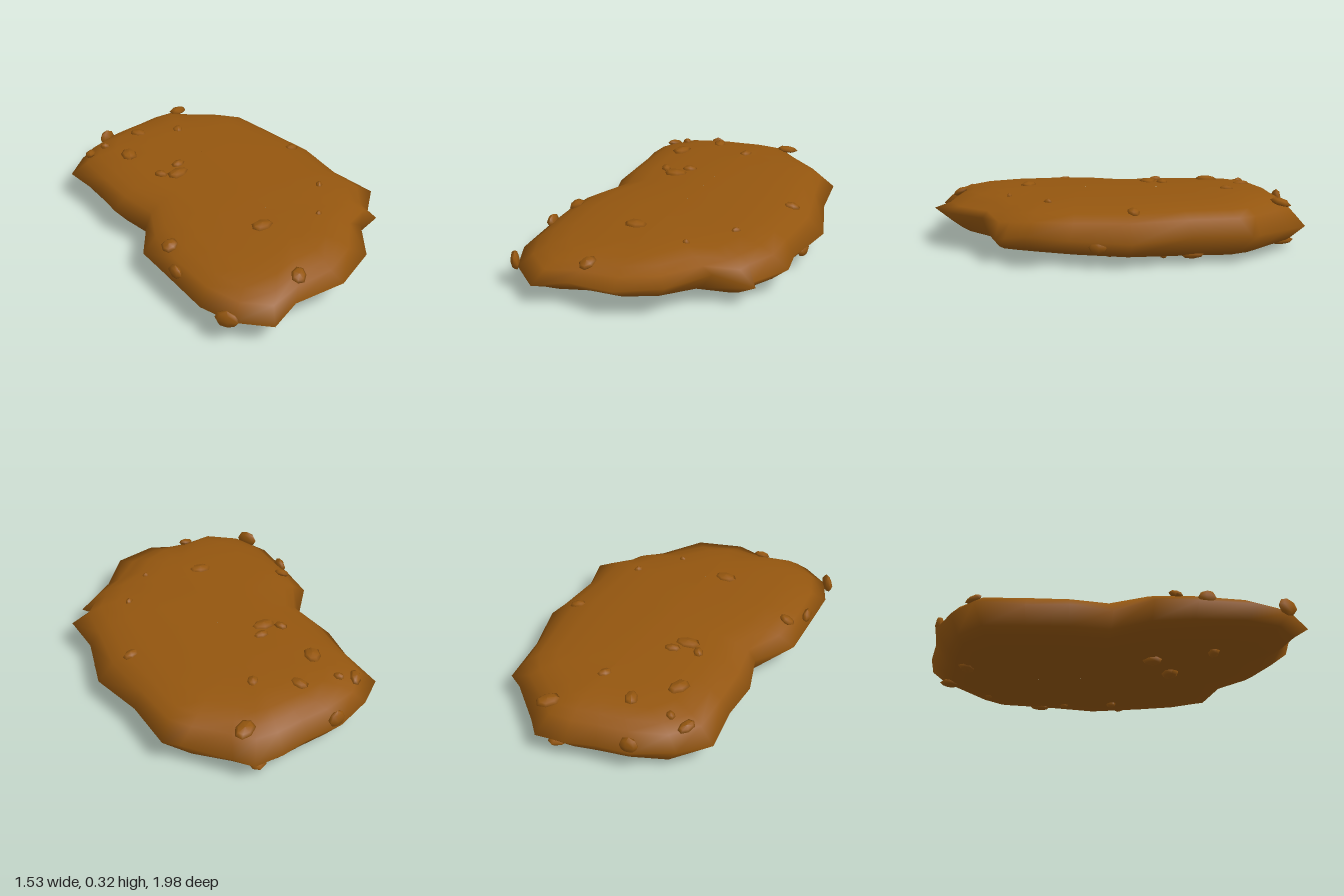
import * as THREE from 'three';

const crust = new THREE.MeshStandardMaterial({ color: 0x94560f });
crust.name = 'golden brown crust';

// Rim of the slab, clockwise from the back: x, z, y
const rim = [
  [-0.06, -0.985, 0.16], [0.13, -0.97, 0.15], [0.3, -0.98, 0.14], [0.46, -0.96, 0.13],
  [0.52, -0.86, 0.13], [0.68, -0.64, 0.14], [0.75, -0.58, 0.15], [0.73, -0.28, 0.15],
  [0.765, 0.04, 0.135], [0.65, 0.34, 0.14], [0.65, 0.55, 0.17], [0.49, 0.65, 0.13],
  [0.51, 0.7, 0.125], [0.3, 0.75, 0.2], [0.11, 0.94, 0.2], [-0.14, 0.995, 0.18],
  [-0.4, 0.91, 0.15], [-0.58, 0.94, 0.125], [-0.71, 0.79, 0.14], [-0.75, 0.6, 0.15],
  [-0.7, 0.3, 0.16], [-0.66, 0.08, 0.16], [-0.48, -0.1, 0.16], [-0.505, -0.34, 0.16],
  [-0.45, -0.56, 0.16], [-0.43, -0.82, 0.16], [-0.27, -0.92, 0.16],
];

// Rings from the underside centre, around the rim, to the top centre:
// inset towards the spine, height (null = the rim itself)
const rings = [
  [1, 0.017], [0.65, 0.02], [0.36, 0.029], [0.2, 0.046], [0.1, 0.073], [0, null],
  [0.1, 0.228], [0.2, 0.261], [0.36, 0.287], [0.65, 0.298], [1, 0.302],
];

function makeSlab() {
  const n = rim.length, pos = [], index = [];
  for (const [inset, height] of rings) {
    for (let j = 0; j < n; j++) {
      let [x, z, y] = rim[j];
      if (height !== null) {
        // keep the rounded edge equally wide at the narrow ends
        const reach = Math.hypot(0.05 - 0.15 * z - x, 0.4 * z);
        const t = inset ** THREE.MathUtils.clamp(reach / 0.6, 0.75, 1);
        // inner rings are rounder than the jagged rim
        const p = rim[(j + n - 1) % n], q = rim[(j + 1) % n];
        const s = 0.25 + 0.25 * t;
        x += ((p[0] + q[0]) / 2 - x) * s;
        z += ((p[1] + q[1]) / 2 - z) * s;
        x += (0.05 - 0.15 * z - x) * t;
        z += (0.6 * z - z) * t;
        // follow the wavy rim, and grow thinner towards the front
        y = height + (y - 0.16) * 0.45 * (1 - t) ** 2;
        y += height > 0.15
          ? 0.006 * x - 0.01 * z - 0.012 * (z + 0.1) ** 2
          : 0.018 * z - 0.01 * x + 0.01 * (z + 0.2) ** 2;
      }
      pos.push(x, y, z);
    }
  }
  for (let i = 0; i < rings.length - 1; i++) {
    for (let j = 0; j < n; j++) {
      const k = (j + 1) % n;
      const a = i * n + j, b = i * n + k, c = a + n, d = b + n;
      index.push(a, c, b, b, c, d);
    }
  }
  const g = new THREE.BufferGeometry();
  g.setAttribute('position', new THREE.Float32BufferAttribute(pos, 3));
  g.setIndex(index);
  g.computeVertexNormals();
  return g;
}

// Slightly lumpy crumb
function makeCrumb() {
  const g = new THREE.SphereGeometry(1, 7, 4);
  const p = g.attributes.position;
  for (let i = 0; i < p.count; i++) {
    const x = p.getX(i), y = p.getY(i), z = p.getZ(i);
    const k = 1.05 + 0.1 * Math.sin(4 * x + 2) * Math.cos(3 * z + y);
    p.setXYZ(i, x * k, y * k, z * k);
  }
  g.computeVertexNormals();
  return g;
}

// Crumbs: x, y, z, half length, half width, turn in degrees (0 = along x)
const topCrumbs = [
  [-0.29, 0.245, -0.81, 0.05, 0.03, 55], [-0.2, 0.272, -0.78, 0.03, 0.022, -50],
  [0.02, 0.293, -0.73, 0.055, 0.035, -75], [-0.185, 0.292, -0.58, 0.065, 0.045, 60],
  [0.21, 0.301, -0.59, 0.042, 0.03, 50], [0.43, 0.26, -0.83, 0.065, 0.045, 25],
  [-0.205, 0.295, -0.28, 0.04, 0.026, -70], [-0.065, 0.299, -0.29, 0.045, 0.03, 5],
  [-0.13, 0.296, -0.22, 0.07, 0.045, 0], [0.58, 0.262, 0, 0.047, 0.032, 5],
  [-0.59, 0.242, 0.21, 0.045, 0.04, -10], [-0.17, 0.288, 0.465, 0.065, 0.045, -10],
  [0.35, 0.284, 0.41, 0.027, 0.018, 35], [0.13, 0.28, 0.595, 0.02, 0.014, 0],
  [-0.31, 0.24, 0.845, 0.048, 0.038, 40],
];
const bottomCrumbs = [
  [0.62, 0.042, -0.3, 0.065, 0.045, 40], [0.47, 0.025, -0.63, 0.03, 0.022, 0],
  [0.37, 0.038, -0.86, 0.065, 0.045, 50], [0.1, 0.026, -0.79, 0.06, 0.045, -30],
  [0.52, 0.024, -0.17, 0.03, 0.022, 0], [0.44, 0.022, 0.1, 0.03, 0.024, 30],
  [-0.07, 0.024, 0.32, 0.058, 0.045, 0], [-0.22, 0.024, 0.18, 0.055, 0.04, 60],
  [-0.37, 0.035, 0.48, 0.04, 0.03, 0],
];
// Crumbs on the rim: x, y, z, half length, half height, turn along the rim
const sideCrumbs = [
  [-0.732, 0.16, 0.765, 0.065, 0.045, -65], [-0.68, 0.195, 0.35, 0.05, 0.035, 85],
  [-0.04, 0.195, -0.965, 0.05, 0.045, 0], [0.677, 0.11, 0.2, 0.05, 0.035, 70],
  [0.41, 0.11, 0.66, 0.035, 0.025, 25],
];

export function createModel() {
  const model = new THREE.Group();
  model.name = 'crustySlab';
  const slab = new THREE.Mesh(makeSlab(), crust);
  slab.name = 'slab';
  model.add(slab);

  const crumb = makeCrumb();
  const scatter = (name, list, thickness) => {
    const group = new THREE.Group();
    group.name = name;
    for (const [x, y, z, a, b, turn] of list) {
      const m = new THREE.Mesh(crumb, crust);
      m.name = 'crumb';
      m.position.set(x, y, z);
      m.rotation.y = THREE.MathUtils.degToRad(turn);
      if (name === 'sideCrumbs') {
        m.scale.set(a, b, thickness);
      } else {
        // lie flat, leaning with the rounded edge
        m.scale.set(a, thickness, b);
        const lean = y > 0.15 ? Math.max(0, 0.275 - y) : -Math.max(0, y - 0.03);
        const axis = new THREE.Vector3(z, 0, -x).normalize();
        m.rotateOnWorldAxis(axis, THREE.MathUtils.clamp(lean * 14, -0.5, 0.5));
      }
      group.add(m);
    }
    model.add(group);
  };
  scatter('topCrumbs', topCrumbs, 0.018);
  scatter('bottomCrumbs', bottomCrumbs, 0.022);
  scatter('sideCrumbs', sideCrumbs, 0.024);
  return model;
}
